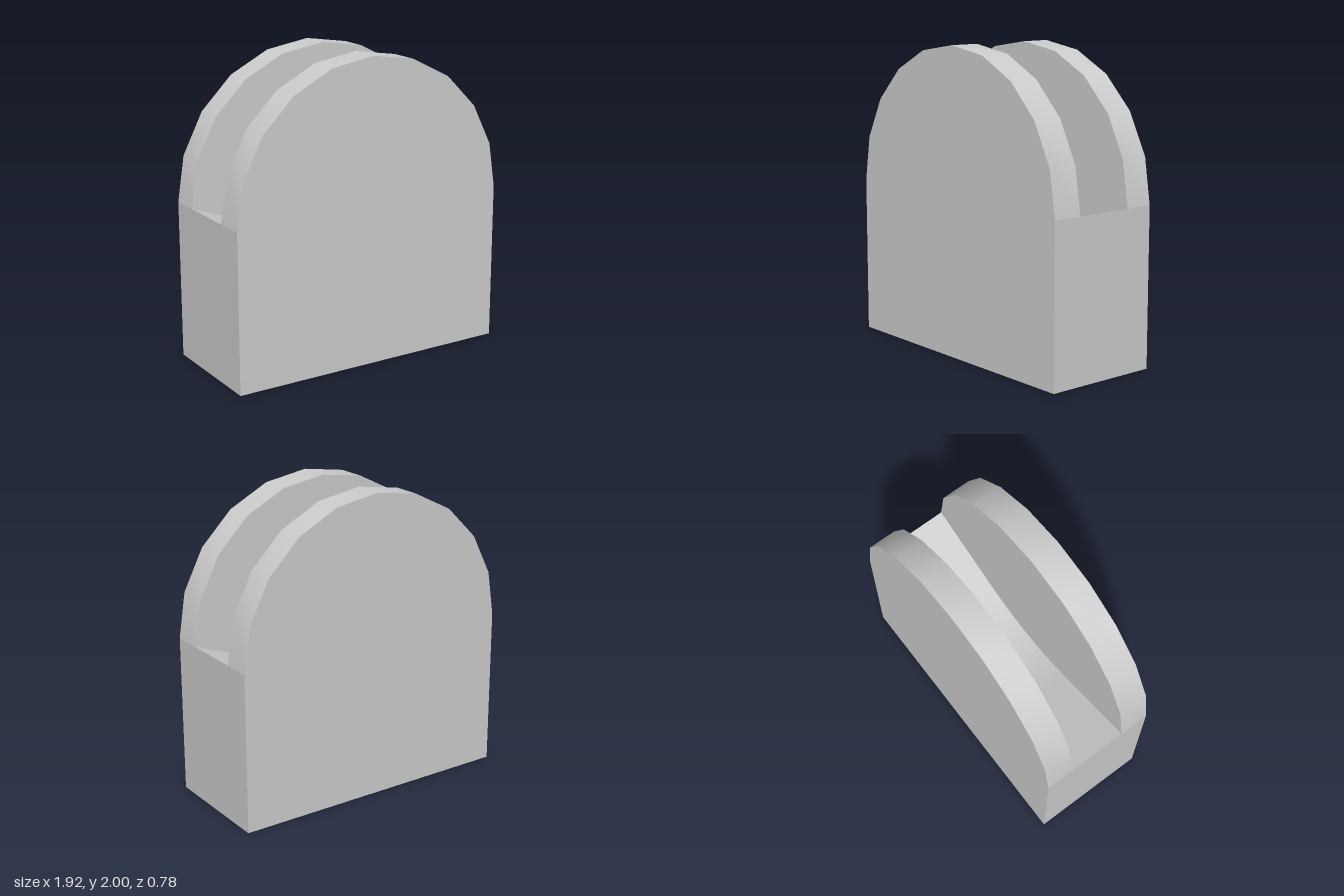
import * as THREE from 'three';

const R = 0.96;        // arch radius and half width
const SHOULDER = 1.04; // height where the arch begins
const Z_OUT = 0.39;    // outer faces
const SLOT_FRONT = 0.19, SLOT_BACK = -0.2;

const material = new THREE.MeshStandardMaterial({ color: 0xcccccc });

// Sweep a line of [x, y] points along z; smooth normals along the line.
function strip(points, zBack, zFront) {
  const positions = [], index = [];
  points.forEach(([x, y], i) => {
    positions.push(x, y, zBack, x, y, zFront);
    if (i > 0) {
      const a = 2 * (i - 1), b = 2 * i;
      index.push(a, b, b + 1, a, b + 1, a + 1);
    }
  });
  const geometry = new THREE.BufferGeometry();
  geometry.setAttribute('position', new THREE.Float32BufferAttribute(positions, 3));
  geometry.setIndex(index);
  geometry.computeVertexNormals();
  return geometry;
}

// Flat symmetric plate at depth z, facing front or back.
function plate(points, z, facesFront) {
  const shape = new THREE.Shape(points.map(([x, y]) => new THREE.Vector2(x, y)));
  const geometry = new THREE.ShapeGeometry(shape);
  if (!facesFront) geometry.rotateY(Math.PI);
  return geometry.translate(0, 0, z);
}

export function createModel() {
  const group = new THREE.Group();
  const add = (name, geometry) => {
    const mesh = new THREE.Mesh(geometry, material);
    mesh.name = name;
    group.add(mesh);
  };

  // Ten-sided half circle, from right to left over the top
  const arch = [];
  for (let i = 0; i <= 10; i++) {
    const a = (i / 10) * Math.PI;
    arch.push([R * Math.cos(a), SHOULDER + R * Math.sin(a)]);
  }

  // Slot floor: straight slopes running into a rounded dip
  const slope = 0.37, bend = 0.4, floor = [[R, SHOULDER]];
  const bendY = SHOULDER - slope * (R - bend);
  for (let i = 0; i <= 8; i++) {
    const x = bend * (1 - i / 4);
    floor.push([x, bendY - (slope / (2 * bend)) * (bend * bend - x * x)]);
  }
  floor.push([-R, SHOULDER]);

  // Outer faces
  const outline = [[-R, 0], [R, 0], ...arch];
  add('frontFace', plate(outline, Z_OUT, true));
  add('backFace', plate(outline, -Z_OUT, false));

  // Slot walls and floor
  const wall = [...arch, ...floor.slice(1, -1).reverse()];
  add('frontSlotWall', plate(wall, SLOT_FRONT, false));
  add('backSlotWall', plate(wall, SLOT_BACK, true));
  add('slotFloor', strip(floor, SLOT_BACK, SLOT_FRONT));

  // Curved rims of the two cheeks
  add('frontRim', strip(arch, SLOT_FRONT, Z_OUT));
  add('backRim', strip(arch, -Z_OUT, SLOT_BACK));

  // Flat sides and underside
  add('leftSide', strip([[R, 0], [R, SHOULDER]], -Z_OUT, Z_OUT));
  add('rightSide', strip([[-R, SHOULDER], [-R, 0]], -Z_OUT, Z_OUT));
  add('underside', strip([[-R, 0], [R, 0]], -Z_OUT, Z_OUT));

  return group;
}
